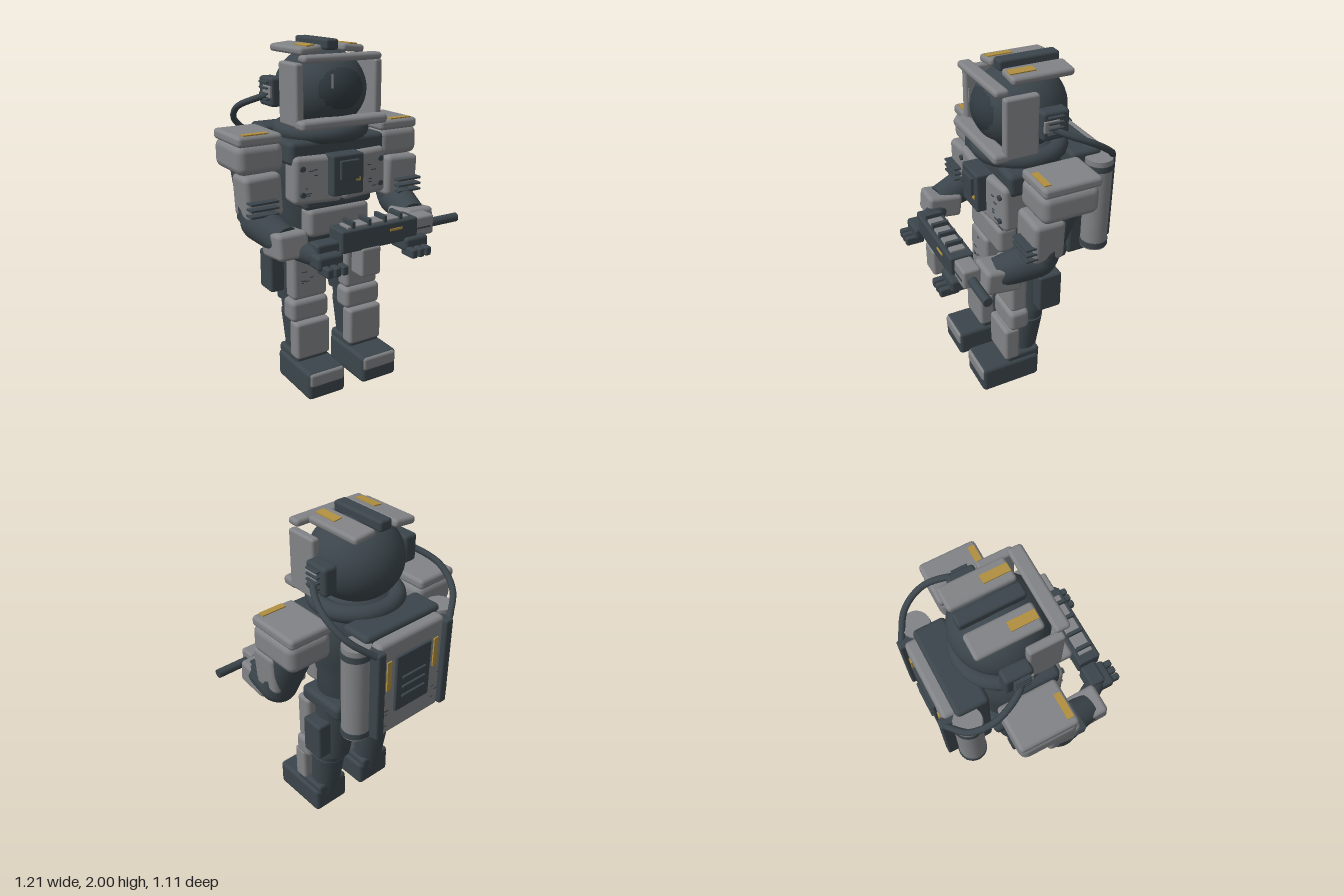
import * as THREE from 'three';
import { RoundedBoxGeometry } from 'three/addons/geometries/RoundedBoxGeometry.js';

const paint = (name, color) => {
  const m = new THREE.MeshStandardMaterial({ color });
  m.name = name;
  return m;
};

export function createModel() {
  const grey = paint('armour grey', 0x828386);
  const dark = paint('suit dark', 0x3b454b);
  const glass = paint('visor glass', 0x303a40);
  const gold = paint('gold marking', 0xb08f3f);

  const model = new THREE.Group();
  model.name = 'armouredAstronaut';
  const body = new THREE.Group();
  body.name = 'body';
  body.position.x = -0.02;
  const gun = new THREE.Group();
  gun.name = 'carbine';
  model.add(body, gun);
  let target = body;

  const add = (name, geometry, material, x = 0, y = 0, z = 0) => {
    const mesh = new THREE.Mesh(geometry, material);
    mesh.name = name;
    mesh.position.set(x, y, z);
    target.add(mesh);
    return mesh;
  };
  // Rounded block given by its extents
  const block = (name, mat, [x0, x1], [y0, y1], [z0, z1], r = 0.015, rot = [0, 0, 0]) => {
    const w = x1 - x0, h = y1 - y0, d = z1 - z0;
    const radius = Math.min(r, Math.min(w, h, d) * 0.45);
    const geo = r > 0 ? new RoundedBoxGeometry(w, h, d, 2, radius) : new THREE.BoxGeometry(w, h, d);
    const mesh = add(name, geo, mat, (x0 + x1) / 2, (y0 + y1) / 2, (z0 + z1) / 2);
    mesh.rotation.set(...rot);
    return mesh;
  };
  // The same block on both sides of the body
  const pair = (name, mat, [x0, x1], ys, zs, r, rot = [0, 0, 0]) => {
    block(name + 'Left', mat, [x0, x1], ys, zs, r, rot);
    block(name + 'Right', mat, [-x1, -x0], ys, zs, r, [rot[0], -rot[1], -rot[2]]);
  };
  // Tapered round limb from a to b
  const limb = (name, mat, a, b, ra, rb, seg = 28) => {
    const from = new THREE.Vector3(...a), to = new THREE.Vector3(...b);
    const dir = to.clone().sub(from);
    const mid = from.add(to).multiplyScalar(0.5);
    const mesh = add(name, new THREE.CylinderGeometry(rb, ra, dir.length(), seg), mat, mid.x, mid.y, mid.z);
    mesh.quaternion.setFromUnitVectors(new THREE.Vector3(0, 1, 0), dir.normalize());
    return mesh;
  };
  const limbs = (name, mat, a, b, ra, rb) => {
    limb(name + 'Left', mat, a, b, ra, rb);
    limb(name + 'Right', mat, [-a[0], a[1], a[2]], [-b[0], b[1], b[2]], ra, rb);
  };
  const ball = (name, mat, x, y, z, sx, sy, sz) =>
    add(name, new THREE.SphereGeometry(1, 40, 28), mat, x, y, z).scale.set(sx, sy, sz);

  // Helmet
  ball('helmetShell', dark, 0, 1.725, -0.08, 0.26, 0.235, 0.262);
  ball('visor', glass, 0, 1.73, -0.045, 0.228, 0.2, 0.235);
  block('visorGlint', grey, [-0.08, -0.07], [1.755, 1.83], [0.172, 0.181], 0);
  const ring = add('neckRing', new THREE.TorusGeometry(0.225, 0.05, 14, 48), dark, 0, 1.5, -0.08);
  ring.rotation.x = Math.PI / 2;
  pair('cheekGuard', grey, [0.225, 0.275], [1.55, 1.89], [-0.062, 0.135], 0.015);
  block('browBar', grey, [-0.245, 0.245], [1.89, 1.93], [0.095, 0.175], 0.018);
  block('chinBar', grey, [-0.275, 0.275], [1.54, 1.595], [0.1, 0.2], 0.022);
  pair('crownPlate', grey, [0.065, 0.205], [1.925, 1.968], [-0.3, 0.06], 0.018, [0, 0, -0.1]);
  pair('crownStripe', gold, [0.11, 0.16], [1.966, 1.974], [-0.095, 0.05], 0, [0, 0, -0.1]);
  block('crownRidge', dark, [-0.04, 0.04], [1.94, 2], [-0.3, 0.055], 0.015);
  pair('earPod', dark, [0.235, 0.32], [1.64, 1.8], [-0.21, -0.055], 0.018);
  pair('earCap', grey, [0.31, 0.328], [1.69, 1.755], [-0.15, -0.06], 0.005);
  for (let i = 0; i < 4; i++) {
    const y = 1.675 + i * 0.031;
    pair('earSlat', dark, [0.315, 0.34], [y, y + 0.011], [-0.17, -0.08], 0.003);
  }

  // Air hoses
  for (const s of [-1, 1]) {
    const path = new THREE.CatmullRomCurve3([[0.3, 1.71, -0.1], [0.36, 1.68, -0.17], [0.408, 1.62, -0.31],
      [0.375, 1.53, -0.44], [0.26, 1.43, -0.53]].map(([x, y, z]) => new THREE.Vector3(s * x, y, z)));
    add('airHose', new THREE.TubeGeometry(path, 40, 0.018, 12), dark);
  }

  // Torso
  const profile = [[0, 0.84], [0.2, 0.85], [0.25, 0.93], [0.245, 1.05], [0.29, 1.2], [0.3, 1.36], [0.25, 1.48],
    [0.17, 1.55], [0, 1.56]].map(p => new THREE.Vector2(...p));
  const torso = add('torso', new THREE.LatheGeometry(profile, 40), dark, 0, 0, -0.09);
  torso.scale.z = 0.76;
  block('collarPlate', dark, [-0.305, 0.305], [1.34, 1.475], [-0.12, 0.125], 0.03);
  pair('breastPlate', grey, [-0.005, 0.295], [1.125, 1.395], [0.02, 0.165], 0.03, [0, 0.08, 0.03]);
  block('chestUnit', dark, [-0.1, 0.1], [1.17, 1.4], [0.12, 0.225], 0.012);
  block('chestScreen', dark, [-0.06, 0.06], [1.26, 1.37], [0.22, 0.243], 0.006);
  block('chestLamp', gold, [0.05, 0.075], [1.245, 1.265], [0.223, 0.231], 0);
  for (const s of [-1, 1]) for (const y of [1.19, 1.335])
    limb('chestBolt', dark, [s * 0.255, y, 0.12], [s * 0.255, y, 0.17], 0.016, 0.016, 14);
  block('ribBand', dark, [-0.22, 0.22], [1.08, 1.15], [0, 0.13], 0.025);
  block('abdomenPlate', grey, [-0.2, 0.2], [0.92, 1.085], [0.02, 0.14], 0.03);
  block('hipBelt', dark, [-0.29, 0.29], [0.845, 0.94], [-0.26, 0.06], 0.03);

  // Backpack
  block('packCore', dark, [-0.265, 0.265], [0.84, 1.5], [-0.46, -0.27], 0.025);
  block('packPlate', grey, [-0.235, 0.235], [0.88, 1.47], [-0.525, -0.44], 0.025);
  block('packPanel', dark, [-0.125, 0.125], [1.02, 1.37], [-0.541, -0.515], 0.006);
  for (const y of [1.1, 1.16, 1.22]) block('packVent', dark, [-0.085, 0.085], [y, y + 0.016], [-0.553, -0.53], 0.004);
  pair('packStripe', gold, [0.155, 0.185], [1.18, 1.36], [-0.533, -0.524], 0);
  pair('packRail', dark, [0.215, 0.27], [0.9, 1.45], [-0.555, -0.45], 0.012);
  limbs('airTank', grey, [0.3, 0.9, -0.42], [0.3, 1.47, -0.42], 0.077, 0.077);
  for (const y of [0.91, 1.405]) limbs('tankBand', dark, [0.3, y, -0.42], [0.3, y + 0.035, -0.42], 0.082, 0.082);

  // Arms
  pair('shoulderPad', grey, [0.315, 0.587], [1.31, 1.475], [-0.26, 0.075], 0.045);
  pair('shoulderCap', grey, [0.32, 0.583], [1.465, 1.525], [-0.267, 0.07], 0.022);
  pair('shoulderStripe', gold, [0.4, 0.545], [1.522, 1.531], [0.015, 0.053], 0);
  limbs('upperArm', dark, [0.44, 1.38, -0.11], [0.46, 1.05, 0.03], 0.115, 0.105);
  pair('armPlate', grey, [0.345, 0.565], [1.07, 1.315], [-0.075, 0.11], 0.03, [0, 0, -0.05]);
  for (const s of [-1, 1]) ball('elbow', dark, s * 0.46, 1.04, 0.04, 0.105, 0.1, 0.11);
  limbs('forearm', dark, [0.46, 1.04, 0.04], [0.42, 0.985, 0.26], 0.105, 0.085);
  for (let i = 0; i < 3; i++) {
    const y = 1.1 + i * 0.035;
    pair('armFin', dark, [0.395, 0.56], [y, y + 0.014], [0.08, 0.155], 0.004);
  }
  pair('forearmPlate', grey, [0.325, 0.505], [0.9, 1.045], [0.14, 0.355], 0.025, [-0.12, 0, 0]);
  limbs('wrist', dark, [0.38, 0.95, 0.27], [0.3, 0.92, 0.4], 0.06, 0.055);
  pair('palm', dark, [0.2, 0.355], [0.875, 0.955], [0.34, 0.495], 0.02);
  for (let i = 0; i < 3; i++) {
    const x = 0.205 + i * 0.046;
    pair('finger', dark, [x, x + 0.038], [0.853, 0.905], [0.44, 0.55], 0.01);
  }

  // Legs
  limbs('thigh', dark, [0.18, 0.49, -0.095], [0.165, 0.9, -0.12], 0.1, 0.13);
  pair('thighPlate', grey, [0.065, 0.29], [0.545, 0.85], [0, 0.105], 0.025);
  pair('thighPouch', dark, [0.27, 0.36], [0.56, 0.8], [-0.185, -0.04], 0.015);
  pair('kneePad', grey, [0.06, 0.305], [0.41, 0.545], [-0.01, 0.115], 0.03);
  limbs('kneeJoint', dark, [0.18, 0.38, -0.04], [0.18, 0.52, -0.08], 0.09, 0.09);
  limbs('calf', dark, [0.18, 0.12, -0.01], [0.18, 0.43, -0.045], 0.085, 0.103);
  pair('shinPlate', grey, [0.07, 0.295], [0.185, 0.415], [0.05, 0.145], 0.02);
  pair('ankleCuff', dark, [0.075, 0.29], [0.13, 0.21], [-0.09, 0.13], 0.02);
  pair('boot', dark, [0.06, 0.305], [0, 0.17], [-0.08, 0.298], 0.025);
  pair('toeCap', grey, [0.068, 0.297], [0.08, 0.165], [0.22, 0.303], 0.018);

  // Worn scratches on the armour
  let seed = 7;
  const rnd = () => (seed = (seed * 16807) % 2147483647) / 2147483647;
  for (let i = 0; i < 12; i++) {
    const s = i % 2 ? 1 : -1, w = 0.012 + rnd() * 0.025;
    const x = s * (0.14 + rnd() * 0.1);
    const marks = [['chestScratch', 1.17 + rnd() * 0.18, 0.162], ['thighScratch', 0.6 + rnd() * 0.22, 0.103],
      ['packScratch', 0.93 + rnd() * 0.2, -0.527]];
    for (const [name, y, z] of marks) block(name, dark, [x - w / 2, x + w / 2], [y, y + 0.005], [z, z + 0.006], 0);
  }

  // Carbine held across the waist
  target = gun;
  block('receiver', dark, [-0.22, 0.275], [0.935, 1.06], [0.335, 0.472], 0.012);
  block('topRail', grey, [-0.17, 0.225], [1.05, 1.072], [0.36, 0.447], 0.005);
  for (let i = 0; i < 4; i++) {
    const x = -0.148 + i * 0.1025;
    block('railRib', dark, [x, x + 0.022], [1.055, 1.098], [0.355, 0.455], 0.005);
  }
  block('stock', dark, [-0.35, -0.21], [0.92, 1.0], [0.345, 0.44], 0.015);
  block('handguard', grey, [0.27, 0.405], [0.935, 1.05], [0.35, 0.452], 0.015);
  block('guardSlot', dark, [0.285, 0.38], [0.98, 0.99], [0.448, 0.455], 0);
  limb('barrel', dark, [0.39, 0.985, 0.404], [0.605, 0.985, 0.404], 0.026, 0.026);
  block('magazine', grey, [-0.1, 0.025], [0.78, 0.945], [0.37, 0.48], 0.015);
  block('receiverStripe', gold, [0.085, 0.165], [1.012, 1.024], [0.47, 0.478], 0);

  return model;
}
